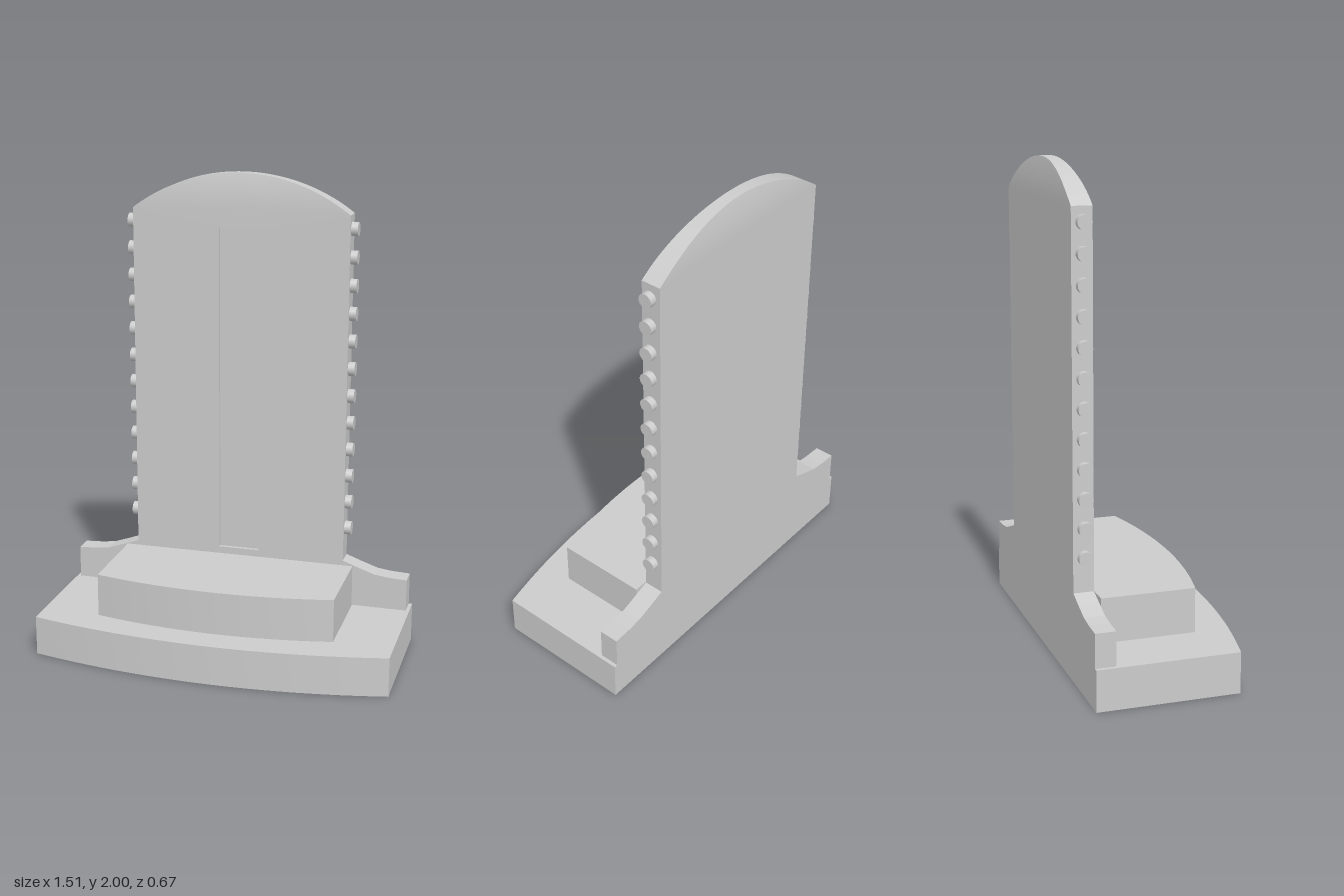
import * as THREE from 'three';
import { toCreasedNormals } from 'three/addons/utils/BufferGeometryUtils.js';

const BACK = -0.333, FRONT = -0.25, MID = (BACK + FRONT) / 2;
const HALF = 0.462, EAVE = 1.845, TOP = 2;
const material = new THREE.MeshStandardMaterial({ color: 0xcccccc });

function add(parent, name, geometry) {
  const mesh = new THREE.Mesh(geometry, material);
  mesh.name = name;
  parent.add(mesh);
  return mesh;
}

// Block with a straight back and a bowed front, seen from above
function bowedBlock(halfWidth, back, corner, middle, bottom, top) {
  const shape = new THREE.Shape();
  shape.moveTo(-halfWidth, -back);
  shape.lineTo(-halfWidth, -corner);
  shape.quadraticCurveTo(0, -(2 * middle - corner), halfWidth, -corner);
  shape.lineTo(halfWidth, -back);
  shape.closePath();
  const geo = new THREE.ExtrudeGeometry(shape, { depth: top - bottom, bevelEnabled: false, curveSegments: 24 });
  geo.rotateX(-Math.PI / 2).translate(0, bottom, 0);
  return toCreasedNormals(geo, 0.4);
}

// Upright slab outline with sloping shoulders, up to where the crown begins
function slabOutline() {
  const side = [[0.74, 0.167], [0.74, 0.305], [0.66, 0.309], [0.6, 0.317], [0.53, 0.341], [HALF, 0.366], [HALF, EAVE]];
  const mirrored = side.map(([x, y]) => [-x, y]).reverse();
  return new THREE.Shape([...side, ...mirrored].map(([x, y]) => new THREE.Vector2(x, y)));
}

function slabLayer(shape, back, front) {
  const geo = new THREE.ExtrudeGeometry(shape, { depth: front - back, bevelEnabled: false });
  return geo.translate(0, 0, back);
}

// Arched crown: stacked rectangles that narrow along an arc and thin toward the top
function crownGeometry() {
  const rise = TOP - EAVE;
  const radius = (HALF * HALF + rise * rise) / (2 * rise);
  const start = Math.asin(HALF / radius);
  const rows = 24, positions = [], index = [];
  for (let i = 0; i <= rows; i++) {
    const angle = start * (1 - i / rows);
    const x = radius * Math.sin(angle);
    const y = TOP - radius + radius * Math.cos(angle);
    const h = (FRONT - BACK) / 2 - 0.017 * ((y - EAVE) / rise) ** 2;
    positions.push(-x, y, MID + h, x, y, MID + h, x, y, MID - h, -x, y, MID - h);
  }
  for (let i = 0; i < rows; i++) {
    for (let k = 0; k < 4; k++) {
      const a = i * 4 + k, b = i * 4 + (k + 1) % 4;
      // the last row closes to a line, so its front and back are triangles
      index.push(a, b, b + 4);
      if (i < rows - 1 || k % 2 === 1) index.push(a, b + 4, a + 4);
    }
  }
  const geo = new THREE.BufferGeometry();
  geo.setAttribute('position', new THREE.Float32BufferAttribute(positions, 3));
  geo.setIndex(index);
  return toCreasedNormals(geo, 0.5);
}

export function createModel() {
  const model = new THREE.Group();
  model.name = 'monument';

  // Stepped base
  add(model, 'base', bowedBlock(0.755, BACK, 0.243, 0.333, 0, 0.167));
  add(model, 'step', bowedBlock(0.507, -0.236, 0.15, 0.208, 0.167, 0.35));

  // Upright slab in two layers; the front one is cut by the slot
  const slab = new THREE.Group();
  slab.name = 'slab';
  model.add(slab);
  const slotFloor = FRONT - 0.015;
  add(slab, 'slabBack', slabLayer(slabOutline(), BACK, slotFloor));
  const slotted = slabOutline();
  slotted.holes.push(new THREE.Path([[-0.088, 0.375], [-0.088, 1.775], [0.088, 1.775], [0.088, 0.375]]
    .map(([x, y]) => new THREE.Vector2(x, y))));
  add(slab, 'slottedFront', slabLayer(slotted, slotFloor, FRONT));
  add(slab, 'crown', crownGeometry());

  // Row of round pegs along each edge
  const pegGeo = new THREE.CylinderGeometry(0.029, 0.029, 0.04, 24).rotateZ(Math.PI / 2);
  for (const side of [1, -1]) {
    const row = new THREE.Group();
    row.name = side > 0 ? 'leftPegs' : 'rightPegs';
    model.add(row);
    for (let i = 0; i < 12; i++) {
      add(row, 'peg', pegGeo).position.set(side * 0.47, 0.505 + i * 0.1165, -0.287);
    }
  }
  return model;
}
